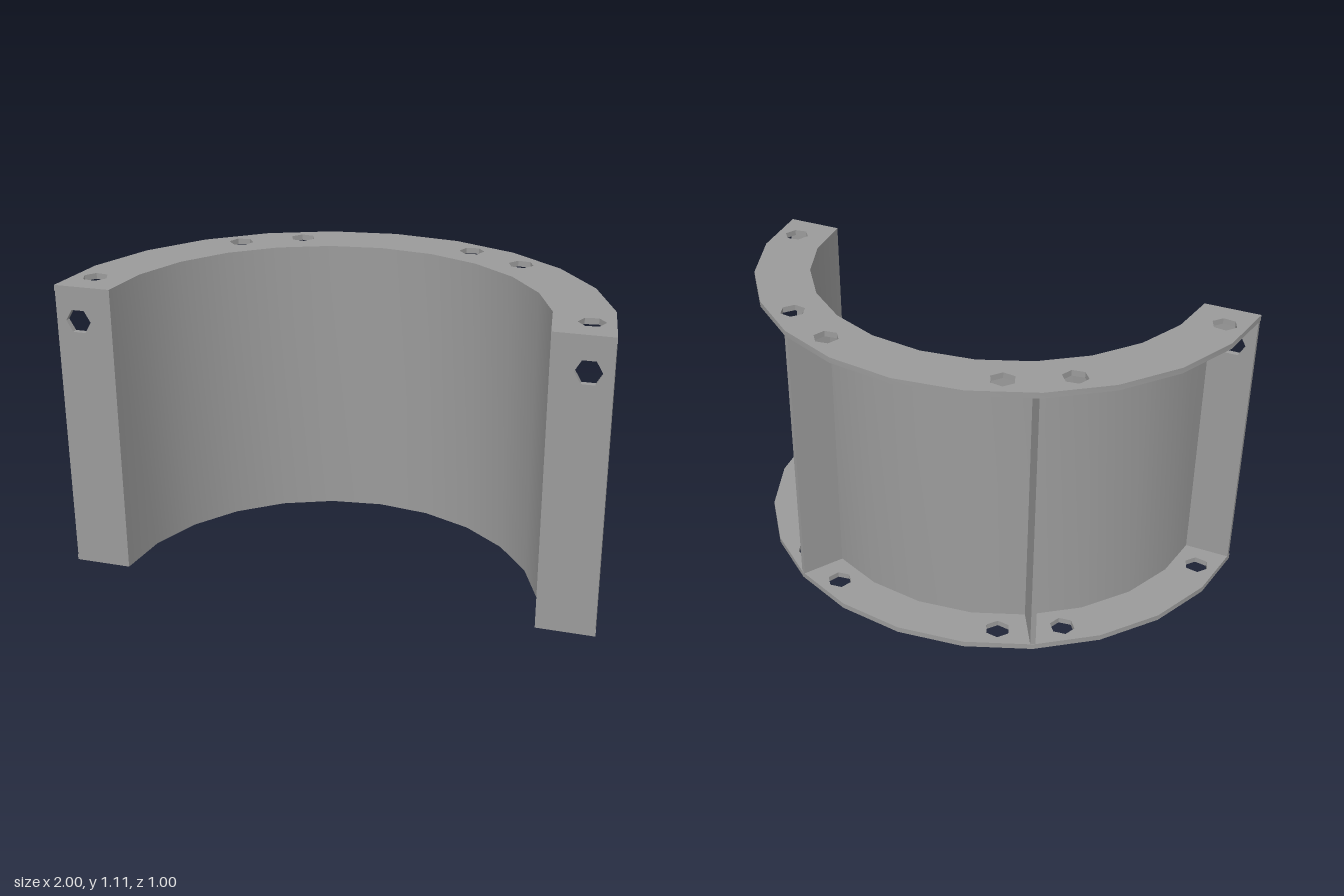
import * as THREE from 'three';
import { toCreasedNormals } from 'three/addons/utils/BufferGeometryUtils.js';

const H = 1.112, T = 0.022;              // height and sheet thickness
const R_IN = 0.785, R_WALL = 0.826, R_OUT = 1;
const HOLE_R = 0.048, HOLE_RING = 0.91;
const FRONT_Z = 0.5;                     // the half ring's centre lies on the front plane

const material = new THREE.MeshStandardMaterial({ color: 0x9b9b9b });

// Half ring in 15 degree steps
function halfRing(inner, outer) {
  const points = [];
  const arc = (r, from, to) => {
    for (let i = 0; i <= 12; i++) {
      const a = from + (to - from) * i / 12;
      points.push(new THREE.Vector2(r * Math.cos(a), r * Math.sin(a)));
    }
  };
  arc(outer, 0, Math.PI);
  arc(inner, Math.PI, 0);
  return new THREE.Shape(points);
}

// Six-sided bolt hole with a corner pointing along the given angle
function hexHole(x, y, angle) {
  const points = [];
  for (let i = 0; i < 6; i++) {
    const a = angle - i * Math.PI / 3;
    points.push(new THREE.Vector2(x + HOLE_R * Math.cos(a), y + HOLE_R * Math.sin(a)));
  }
  return new THREE.Path(points);
}

// Extrudes a plan shape upwards, its y axis pointing to the back
function raise(shape, height) {
  const geometry = new THREE.ExtrudeGeometry(shape, { depth: height, bevelEnabled: false });
  geometry.rotateX(-Math.PI / 2);
  return toCreasedNormals(geometry, 0.5);
}

export function createModel() {
  const group = new THREE.Group();
  const add = (name, geometry, x, y, z) => {
    const mesh = new THREE.Mesh(geometry, material);
    mesh.name = name;
    mesh.position.set(x, y, z);
    group.add(mesh);
    return mesh;
  };

  // Curved wall
  add('curvedWall', raise(halfRing(R_IN, R_WALL), H), 0, 0, FRONT_Z);

  // Top and bottom flanges with bolt holes
  const flange = halfRing(R_WALL, R_OUT);
  for (const degrees of [8.2, 52.2, 67.8, 112.2, 127.8, 171.8]) {
    const a = THREE.MathUtils.degToRad(degrees);
    flange.holes.push(hexHole(HOLE_RING * Math.cos(a), HOLE_RING * Math.sin(a), a));
  }
  const flangeGeometry = raise(flange, T);
  add('bottomFlange', flangeGeometry, 0, 0, FRONT_Z);
  add('topFlange', flangeGeometry, 0, H - T, FRONT_Z);

  for (const side of [1, -1]) {
    const label = side > 0 ? 'left' : 'right';

    // Front end plate with one hole near the top
    const x0 = Math.min(side * 0.81, side * 0.998), x1 = Math.max(side * 0.81, side * 0.998);
    const plate = new THREE.Shape([
      new THREE.Vector2(x0, T), new THREE.Vector2(x1, T),
      new THREE.Vector2(x1, H - T), new THREE.Vector2(x0, H - T),
    ]);
    plate.holes.push(hexHole(side * 0.914, 0.982, 0));
    add(label + 'EndPlate',
      new THREE.ExtrudeGeometry(plate, { depth: T, bevelEnabled: false }), 0, 0, FRONT_Z - T);

    // Radial rib between the flanges, 30 degrees from the back
    const a = side * Math.PI / 6, inner = 0.81, outer = 0.998, mid = (inner + outer) / 2;
    const rib = add(label + 'Rib', new THREE.BoxGeometry(0.02, H - 2 * T, outer - inner),
      mid * Math.sin(a), H / 2, FRONT_Z - mid * Math.cos(a));
    rib.rotation.y = -a;
  }
  return group;
}
